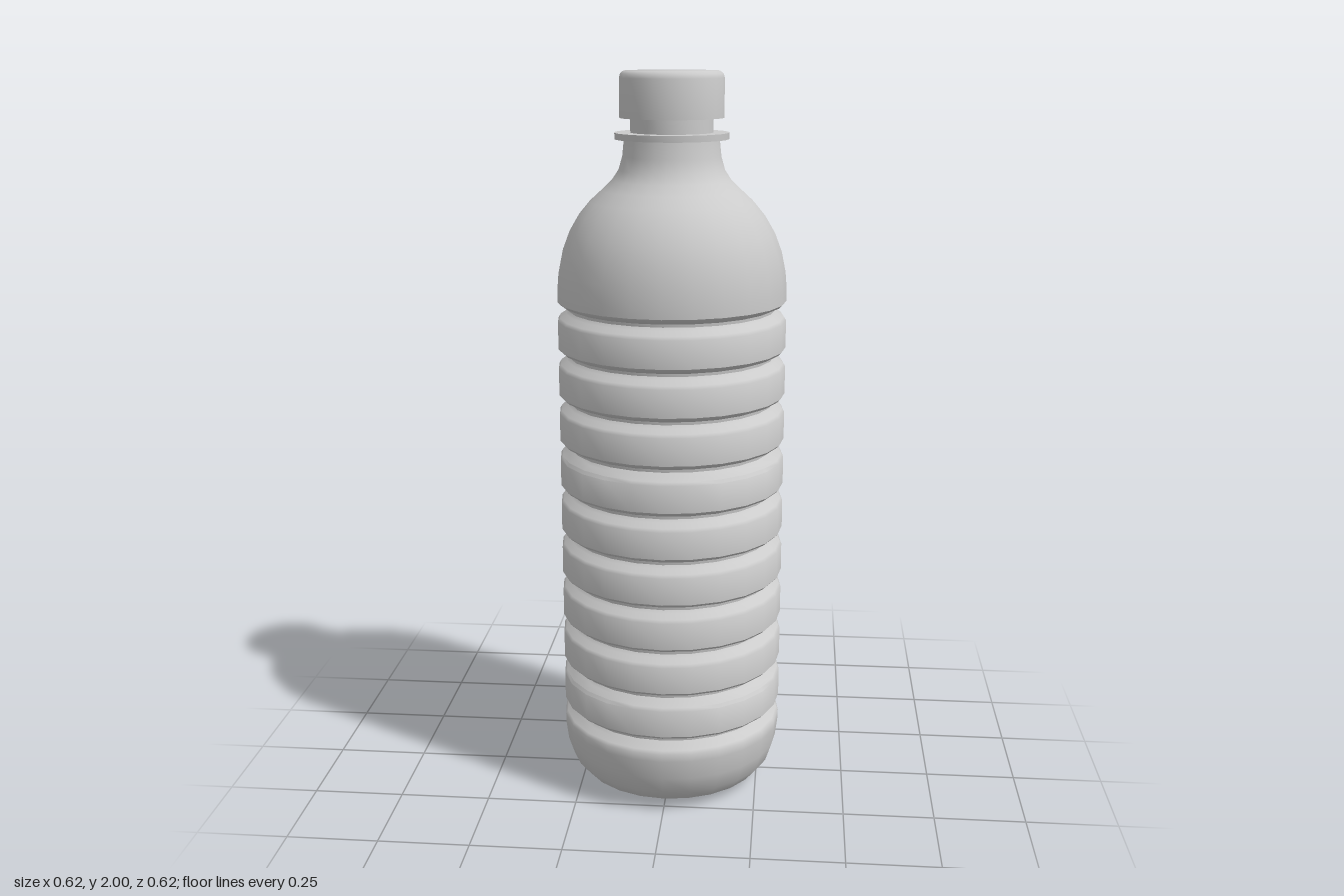
import * as THREE from 'three';
import { toCreasedNormals } from 'three/addons/utils/BufferGeometryUtils.js';

const SIDES = 24;

// Spins a [radius, height] profile (bottom to top) into a named mesh.
function turned(name, profile, crease = 0.7) {
  const points = profile.map(([r, y]) => new THREE.Vector2(r, y));
  const geometry = toCreasedNormals(new THREE.LatheGeometry(points, SIDES), crease);
  const mesh = new THREE.Mesh(geometry, new THREE.MeshStandardMaterial({ color: 0xcccccc }));
  mesh.name = name;
  return mesh;
}

export function createModel() {
  const bottle = new THREE.Group();
  bottle.name = 'bottle';
  const R = 0.311;

  // Rounded base
  const body = [
    [0, 0.006], [0.17, 0.006], [0.19, 0.002], [0.225, 0.012], [0.258, 0.03],
    [0.288, 0.066], [0.304, 0.115], [R, 0.17],
  ];

  // Ten evenly spaced grooves, steeper on their upper lip
  const grooves = 10, first = 0.233, pitch = 0.1281;
  for (let i = 0; i < grooves; i++) {
    const y = first + i * pitch;
    body.push(
      [R, y - 0.041], [0.305, y - 0.032], [0.287, y - 0.021], [0.281, y - 0.013],
      [0.282, y - 0.005], [0.303, y + 0.004], [R, y + 0.012],
    );
  }

  // Domed shoulder running up into the neck
  body.push(
    [R, 1.43], [0.307, 1.476], [0.296, 1.53], [0.277, 1.58], [0.25, 1.626],
    [0.22, 1.662], [0.187, 1.692], [0.16, 1.718], [0.142, 1.745], [0.132, 1.78],
    [0.127, 1.828],
  );
  bottle.add(turned('body', body));

  // Flange under the cap
  bottle.add(turned('neckRing', [
    [0.1, 1.825], [0.152, 1.825], [0.153, 1.842], [0.1, 1.842],
  ]));

  // Narrow neck between flange and cap
  bottle.add(turned('neck', [[0.11, 1.835], [0.11, 1.89]]));

  // Cap with a softened top edge
  bottle.add(turned('cap', [
    [0, 1.88], [0.139, 1.88], [0.139, 1.982], [0.136, 1.993], [0.127, 2], [0, 2],
  ], 0.85));

  return bottle;
}
